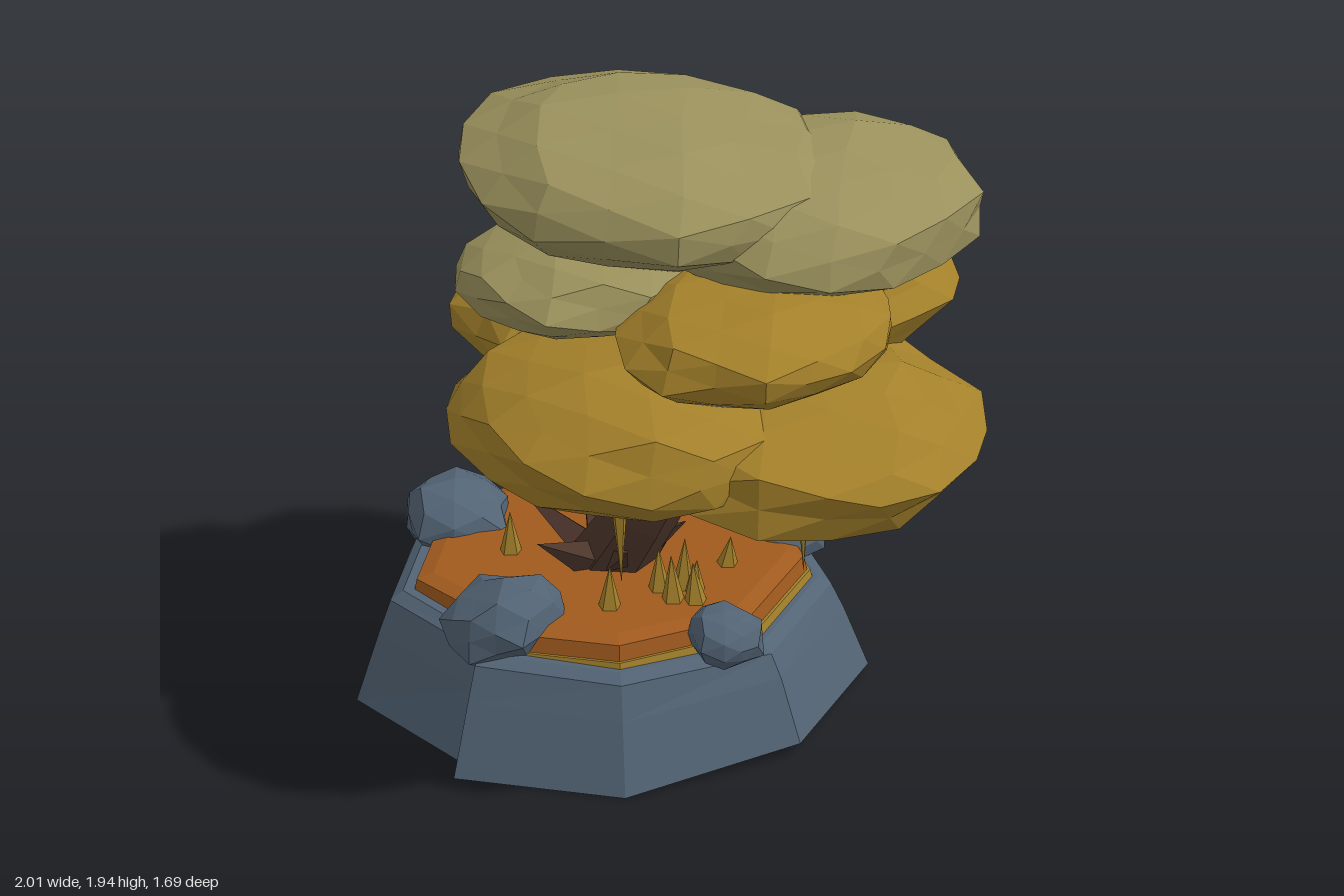
import * as THREE from 'three';

const mat = (name, color) => {
  const m = new THREE.MeshStandardMaterial({ color, flatShading: true });
  m.name = name;
  return m;
};
const V = (x, y, z) => new THREE.Vector3(x, y, z);

export function createModel() {
  const model = new THREE.Group();
  model.name = 'tree on rock';
  const rock = mat('slate rock', 0x526374);
  const soil = mat('orange soil', 0xa05a1e);
  const bark = mat('dark bark', 0x4c352b);
  const gold = mat('golden leaves', 0xa3802a);
  const olive = mat('olive leaves', 0x9a905c);

  const add = (name, geo, material) => {
    const mesh = new THREE.Mesh(geo, material);
    mesh.name = name;
    model.add(mesh);
    return mesh;
  };

  // Closed solid from rings of points, bottom to top
  function loft(rings) {
    const pos = [];
    const tri = (...p) => p.forEach((v) => pos.push(v.x, v.y, v.z));
    const middle = (r) => r.reduce((s, p) => s.add(p), V(0, 0, 0)).divideScalar(r.length);
    const n = rings[0].length;
    const top = rings[rings.length - 1];
    const low = middle(rings[0]), high = middle(top);
    for (let i = 0; i < n; i++) {
      const j = (i + 1) % n;
      for (let k = 0; k + 1 < rings.length; k++) {
        const a = rings[k], b = rings[k + 1];
        tri(a[i], b[i], a[j]);
        tri(a[j], b[i], b[j]);
      }
      tri(low, rings[0][i], rings[0][j]);
      tri(high, top[j], top[i]);
    }
    const geo = new THREE.BufferGeometry();
    geo.setAttribute('position', new THREE.Float32BufferAttribute(pos, 3));
    geo.computeVertexNormals();
    return geo;
  }

  // Base outline (x, z, lift of the bottom edge), with a small step in the front
  const outline = [
    [-1, 0.1, 0.05], [-0.93, -0.5, 0.04], [-0.52, -0.78, 0.03], [-0.03, -0.84, 0.06],
    [0.4, -0.5, 0.03], [0.49, 0.03, 0.05], [0.2, 0.51, 0.01], [-0.27, 0.71, 0.01],
    [-0.31, 0.63, 0.01], [-0.77, 0.55, 0.02],
  ];
  const cx = -0.27, cz = -0.05;
  const ring = (s, y, tilt = 0, lift = 0) => outline.map(([x, z, h]) =>
    V(cx + (x - cx) * s, y + tilt * (x - cx) + lift * h, cz + (z - cz) * s));

  add('rock base', loft([
    ring(1, 0, 0, 1), ring(0.9, 0.22, -0.02, 0.8),
    ring(0.85, 0.335, -0.03), ring(0.8, 0.36, -0.035),
  ]), rock);
  add('golden soil edge', loft([ring(0.78, 0.33), ring(0.77, 0.362)]), gold);
  add('soil', loft([ring(0.76, 0.355), ring(0.745, 0.41), ring(0.68, 0.425)]), soil);

  // Faceted lump: a squashed icosahedron with a rippled surface
  function lump([x, y, z], [rx, ry, rz], detail, seed, rough, tilt = 0) {
    const geo = new THREE.IcosahedronGeometry(1, detail);
    const p = geo.attributes.position;
    const v = V(0, 0, 0);
    for (let i = 0; i < p.count; i++) {
      v.fromBufferAttribute(p, i);
      const k = 1 + rough * (Math.sin(v.x * 7.1 + seed * 1.7) * Math.cos(v.z * 6.3 - seed)
        + 0.7 * Math.sin(v.y * 8.7 + v.x * 4.1 + seed * 2.9));
      p.setXYZ(i, v.x * k * rx, v.y * k * ry, v.z * k * rz);
    }
    geo.rotateZ(tilt).translate(x, y, z);
    geo.computeVertexNormals();
    return geo;
  }

  // Boulders around the rim
  [
    [[-0.79, 0.41, 0.02], [0.19, 0.13, 0.16]],
    [[-0.285, 0.41, 0.43], [0.16, 0.13, 0.19]],
    [[0.285, 0.4, 0.13], [0.12, 0.085, 0.11]],
    [[-0.54, 0.4, -0.5], [0.1, 0.07, 0.08]],
    [[0.07, 0.4, -0.5], [0.14, 0.09, 0.15]],
  ].forEach(([c, r], i) => add('boulder', lump(c, r, 1, i + 3, 0.12), rock));

  // Leaning trunk, tapered towards the crown
  const path = new THREE.CatmullRomCurve3([
    V(-0.26, 0.38, -0.04), V(-0.14, 0.58, -0.05), V(-0.03, 0.8, -0.07),
    V(0.05, 1.0, -0.09), V(0.12, 1.3, -0.1),
  ]);
  const trunk = new THREE.TubeGeometry(path, 8, 1, 6, false);
  const tp = trunk.attributes.position, q = V(0, 0, 0);
  for (let i = 0; i < tp.count; i++) {
    const t = Math.floor(i / 7) / 8;
    const c = path.getPointAt(t);
    q.fromBufferAttribute(tp, i).sub(c).multiplyScalar(0.125 - 0.04 * Math.min(1, t * 1.6)).add(c);
    tp.setXYZ(i, q.x, q.y, q.z);
  }
  add('trunk', trunk, bark);

  // Cone running from a base point to a tip
  function spike(name, from, to, radius, sides, material) {
    const dir = to.clone().sub(from);
    const mesh = add(name, new THREE.ConeGeometry(radius, dir.length(), sides), material);
    mesh.position.copy(from).addScaledVector(dir, 0.5);
    mesh.quaternion.setFromUnitVectors(V(0, 1, 0), dir.normalize());
  }

  // Roots flaring out of the soil
  [[-0.55, 0.57, 0.0], [-0.02, 0.57, -0.12], [-0.3, 0.57, 0.25], [-0.26, 0.57, -0.35],
    [-0.46, 0.54, -0.2], [-0.08, 0.54, 0.1]].forEach(([x, y, z]) =>
    spike('root', V(-0.25 + (x + 0.25) * 0.15, 0.41, -0.04 + (z + 0.04) * 0.15), V(x, y, z), 0.07, 4, bark));

  // Grass blades: x, z, height
  [[-0.5, 0.12, 0.14], [-0.06, 0.22, 0.14], [0.0, 0.05, 0.14], [0.05, 0.0, 0.17],
    [0.07, 0.08, 0.15], [0.09, 0.0, 0.11], [0.13, 0.05, 0.13],
    [0.08, -0.19, 0.1], [-0.33, -0.5, 0.15]].forEach(([x, z, h], i) =>
    spike('grass blade', V(x, 0.41, z), V(x + 0.015 * Math.sin(i * 3), 0.42 + h, z), 0.038, 5, gold));

  // Hanging vines: x, z, top, tip
  [[-0.42, -0.08, 1.15, 0.72], [0.15, 0.45, 1.05, 0.68], [0.45, -0.03, 1.0, 0.59]].forEach(
    ([x, z, top, tip]) => spike('hanging vine', V(x - 0.01, top, z), V(x, tip, z), 0.036, 5, gold));

  // Golden lower crown, with olive on the faces that look down
  [
    [[0.12, 1.175, 0.42], [0.5, 0.205, 0.42]],
    [[0.49, 1.11, 0.07], [0.5, 0.21, 0.52]],
    [[-0.29, 1.24, -0.1], [0.45, 0.18, 0.49]],
    [[0.18, 1.33, -0.4], [0.46, 0.2, 0.43]],
    [[0.4, 1.43, 0.17], [0.37, 0.155, 0.43]],
    [[0.1, 1.17, -0.08], [0.36, 0.16, 0.34]],
  ].forEach(([c, r], i) => {
    const geo = lump(c, r, 2, i * 1.3, 0.055);
    const n = geo.attributes.normal;
    for (let f = 0; f < n.count; f += 3) geo.addGroup(f, 3, n.getY(f) < -0.84 ? 1 : 0);
    add('lower leaf cluster', geo, [gold, olive]);
  });

  // Olive upper crown
  [
    [[-0.04, 1.755, 0.05], [0.56, 0.195, 0.52], -0.06],
    [[0.35, 1.655, -0.21], [0.44, 0.19, 0.52], -0.04],
    [[-0.13, 1.49, 0.2], [0.36, 0.14, 0.39], 0],
    [[-0.11, 1.555, -0.32], [0.43, 0.14, 0.41], 0],
  ].forEach(([c, r, tilt], i) =>
    add('upper leaf cluster', lump(c, r, 2, i * 1.9 + 5, 0.05, tilt), olive));

  return model;
}
